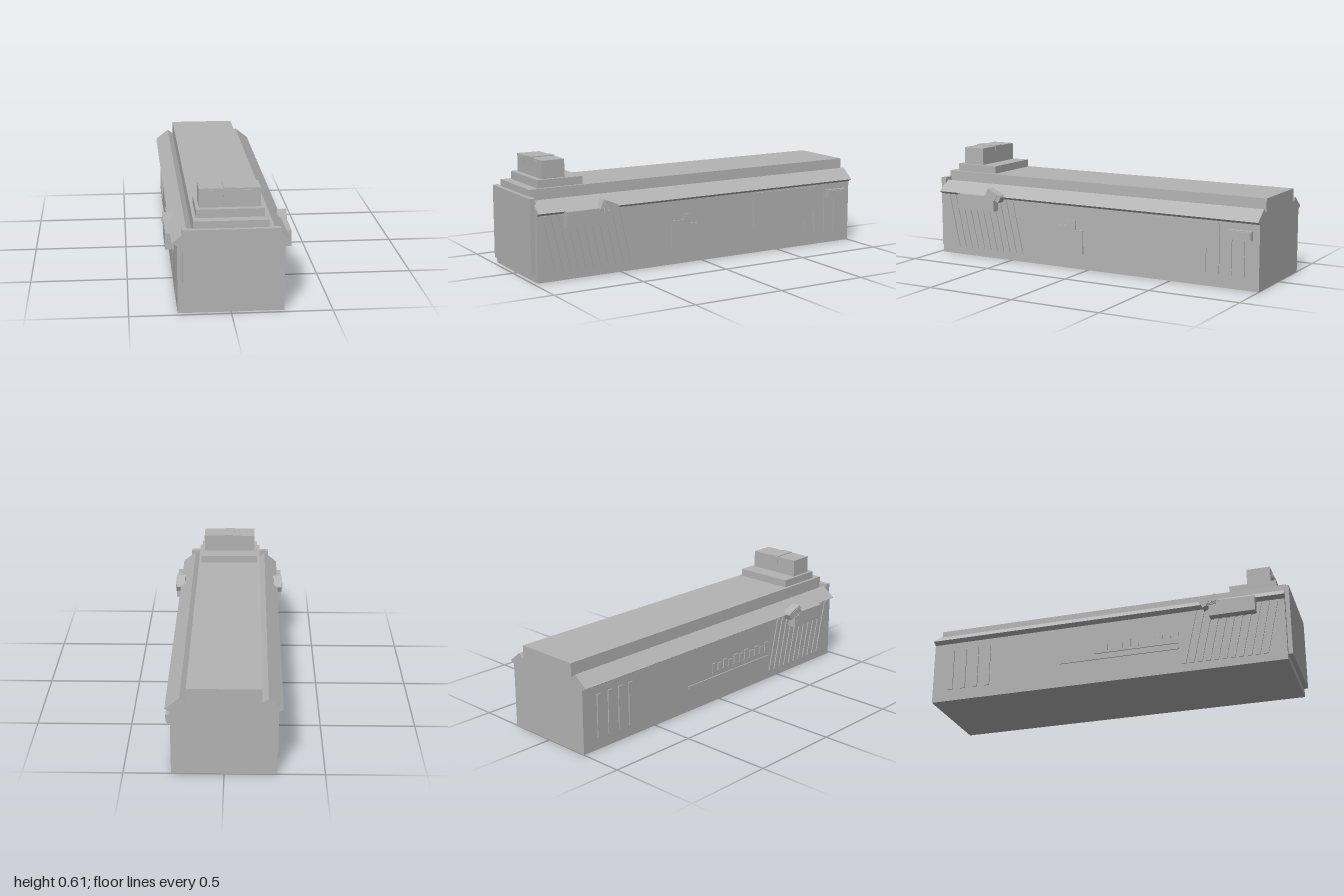
import * as THREE from 'three';

export function createModel() {
  const model = new THREE.Group();
  const grey = new THREE.MeshStandardMaterial({ color: 0xb3b3b3 });
  grey.name = 'plainGrey';

  const add = (name, geometry) => {
    const mesh = new THREE.Mesh(geometry, grey);
    mesh.name = name;
    model.add(mesh);
    return mesh;
  };

  // Box given by its limits on each axis
  const box = (name, x0, x1, y0, y1, z0, z1) => {
    const mesh = add(name, new THREE.BoxGeometry(x1 - x0, y1 - y0, z1 - z0));
    mesh.position.set((x0 + x1) / 2, (y0 + y1) / 2, (z0 + z1) / 2);
    return mesh;
  };

  const shapeOf = (points) => new THREE.Shape(points.map(([x, y]) => new THREE.Vector2(x, y)));

  // Outline in (z, y) extruded between two x positions
  const sidePiece = (name, points, x0, x1) => {
    const shape = shapeOf(points.map(([z, y]) => [-z, y]));
    const geometry = new THREE.ExtrudeGeometry(shape, { depth: x1 - x0, bevelEnabled: false });
    geometry.rotateY(Math.PI / 2);
    geometry.translate(x0, 0, 0);
    return add(name, geometry);
  };

  // Thin relief plate on one side wall (side = 1 left, -1 right)
  const WALL = 0.262, PROUD = 0.268;
  const relief = (name, side, points) =>
    side > 0 ? sidePiece(name, points, WALL - 0.01, PROUD) : sidePiece(name, points, -PROUD, -WALL + 0.01);
  const reliefBar = (name, side, z0, z1, y0, y1) =>
    relief(name, side, [[z0, y0], [z1, y0], [z1, y1], [z0, y1]]);

  // Long hull with eaves, roof gutters and raised deck
  const half = [[0.262, 0], [0.262, 0.345], [0.288, 0.36], [0.215, 0.418], [0.185, 0.395], [0.183, 0.468]];
  const section = [...half, ...half.map(([x, y]) => [-x, y]).reverse()];
  const hull = new THREE.ExtrudeGeometry(shapeOf(section), { depth: 1.977, bevelEnabled: false });
  hull.translate(0, 0, -1);
  add('hull', hull);

  // Front door plate
  box('frontPlate', -0.238, 0.238, 0.038, 0.432, 0.97, 1);

  // Stepped bridge on the deck
  box('bridgeBase', -0.167, 0.167, 0.46, 0.51, 0.67, 0.925);
  box('bridgeCabin', -0.151, 0.151, 0.5, 0.605, 0.765, 0.893);
  box('bridgeRidge', -0.03, 0.03, 0.56, 0.609, 0.762, 0.896);
  for (const s of [-1, 1]) {
    box('bridgeWindow', s * 0.0825 - 0.022, s * 0.0825 + 0.022, 0.563, 0.595, 0.89, 0.897);
  }

  for (const s of [-1, 1]) {
    // Slanted grille near the front
    for (let i = 0; i < 11; i++) {
      const z = 0.945 - i * 0.0435;
      relief('grilleBar', s, [[z, 0.343], [z - 0.024, 0.343], [z - 0.089, 0.045], [z - 0.065, 0.045]]);
    }

    // Side pod with tilted head
    const span = (a, b) => (s > 0 ? [a, b] : [-b, -a]);
    sidePiece('podBody',
      [[0.83, 0.278], [0.83, 0.36], [0.64, 0.362], [0.585, 0.34], [0.585, 0.278]], ...span(0.255, 0.313));
    sidePiece('podHead',
      [[0.642, 0.36], [0.622, 0.405], [0.54, 0.372], [0.535, 0.362], [0.552, 0.33], [0.575, 0.34], [0.6, 0.335]],
      ...span(0.264, 0.314));
    sidePiece('podHeadPanel',
      [[0.628, 0.362], [0.614, 0.395], [0.56, 0.372], [0.572, 0.345]], ...span(0.31, 0.317));
    for (let i = 0; i < 3; i++) {
      const y = 0.341 + i * 0.008;
      box('podRib', ...span(0.31, 0.319), y, y + 0.004, 0.575, 0.625);
    }
  }

  // Left wall: stepped hatch, large panel, hanging bars and a small locker
  relief('steppedHatch', 1, [[0.193, 0.085], [0.193, 0.238], [0.123, 0.238], [0.123, 0.268],
    [0.077, 0.268], [0.077, 0.215], [0.03, 0.215], [0.03, 0.085]]);
  relief('largePanel', 1, [[-0.334, 0.144], [-0.334, 0.338], [-0.775, 0.338], [-0.775, 0.144 + 0.02],
    [-0.75, 0.164], [-0.75, 0.2], [-0.706, 0.2], [-0.706, 0.07], [-0.683, 0.07], [-0.683, 0.144]]);
  [[-0.752, 0.33], [-0.822, 0.3], [-0.892, 0.3]].forEach(([z, top]) =>
    reliefBar('hangingBar', 1, z, z - 0.028, 0.07, top));
  box('locker', 0.255, 0.281, 0.26, 0.31, -0.963, -0.83);
  box('lockerLid', 0.275, 0.287, 0.266, 0.304, -0.957, -0.836);

  // Right wall: rear slots, sill strip and comb of uneven teeth
  [-0.907, -0.833, -0.761, -0.69].forEach((z) => reliefBar('rearSlot', -1, z, z + 0.027, 0.065, 0.3));
  reliefBar('sillStrip', -1, -0.253, 0.407, 0.133, 0.145);
  reliefBar('combBase', -1, -0.06, 0.407, 0.167, 0.178);
  [0.222, 0.215, 0.225, 0.212, 0.228, 0.22, 0.232, 0.216, 0.226, 0.214, 0.23].forEach((top, i) => {
    const z = -0.06 + i * 0.0437;
    reliefBar('combTooth', -1, z, z + 0.03, 0.17, top);
  });

  return model;
}
